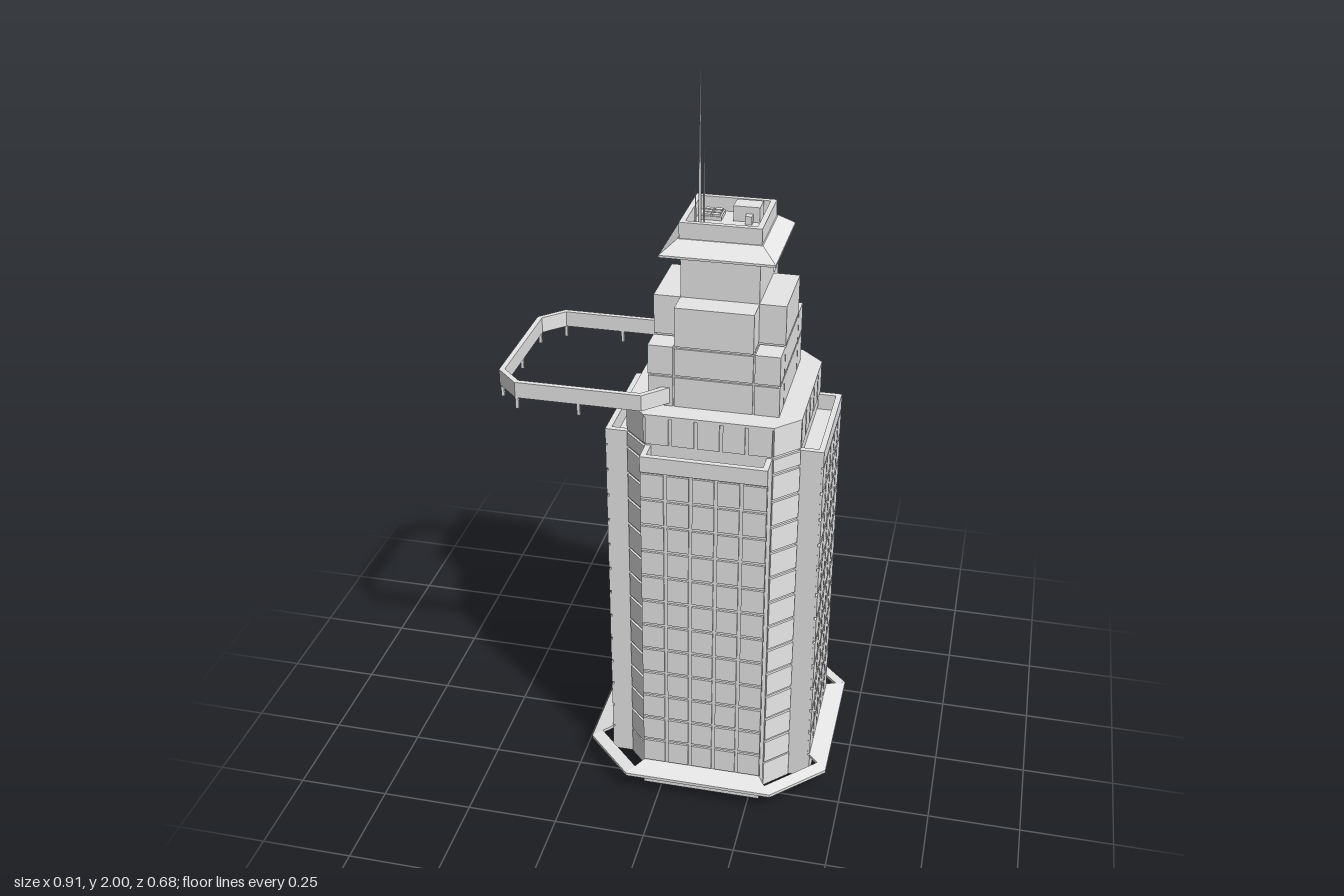
import * as THREE from 'three';
import { mergeGeometries } from 'three/addons/utils/BufferGeometryUtils.js';
import { ConvexGeometry } from 'three/addons/geometries/ConvexGeometry.js';

const stone = new THREE.MeshStandardMaterial({ color: 0xe7e7e7 });
stone.name = 'pale stone';

// Box given by its limits on each axis
function box(x0, x1, y0, y1, z0, z1) {
  return new THREE.BoxGeometry(x1 - x0, y1 - y0, z1 - z0)
    .translate((x0 + x1) / 2, (y0 + y1) / 2, (z0 + z1) / 2);
}

function add(parent, name, geos) {
  const list = [].concat(geos).map((g) => (g.index ? g.toNonIndexed() : g));
  const mesh = new THREE.Mesh(list.length > 1 ? mergeGeometries(list) : list[0], stone);
  mesh.name = name;
  parent.add(mesh);
  return mesh;
}

// Corner points of an octagon: half width a, half length of each straight side b
function octagon(a, b) {
  return [[b, a], [a, b], [a, -b], [b, -a], [-b, -a], [-a, -b], [-a, b], [-b, a]]
    .map(([x, y]) => new THREE.Vector2(x, y));
}

function octPrism(a, b, y0, y1, hole) {
  const shape = new THREE.Shape(octagon(a, b));
  if (hole) shape.holes.push(new THREE.Path(octagon(hole[0], hole[1]).reverse()));
  return new THREE.ExtrudeGeometry(shape, { depth: y1 - y0, bevelEnabled: false })
    .rotateX(-Math.PI / 2).translate(0, y0, 0);
}

// Grid of panels facing +z with narrow joints between them
function panels(width, z, y0, y1, cols, rows) {
  const out = [], w = width / cols, h = (y1 - y0) / rows, gap = 0.0045;
  for (let c = 0; c < cols; c++) {
    for (let r = 0; r < rows; r++) {
      const x = -width / 2 + c * w, y = y0 + r * h;
      out.push(box(x + (c ? gap : 0.001), x + w - (c < cols - 1 ? gap : 0.001),
        y + gap, y + h - gap, z - 0.012, z));
    }
  }
  return out;
}

// Four-sided tapered block with flat sides
function taper(top, bottom, y0, y1) {
  const g = new THREE.CylinderGeometry(top * Math.SQRT2, bottom * Math.SQRT2, y1 - y0, 4)
    .rotateY(Math.PI / 4).translate(0, (y0 + y1) / 2, 0).toNonIndexed();
  g.computeVertexNormals();
  return g;
}

// Sloping slab between an outer and an inner edge
function slab(corners) {
  return new ConvexGeometry(corners.flatMap(([x, y, z]) =>
    [new THREE.Vector3(x, y, z), new THREE.Vector3(x, y - 0.009, z)]));
}

export function createModel() {
  const model = new THREE.Group();
  model.name = 'skyscraper';
  const tower = new THREE.Group();
  tower.name = 'tower';
  tower.position.set(0.114, 0, -0.002);
  model.add(tower);

  // Octagonal core, set back behind its panels
  add(tower, 'coreBase', octPrism(0.229, 0.168, 0, 0.078));
  add(tower, 'coreBody', octPrism(0.223, 0.1655, 0.078, 1.147));
  add(tower, 'coreRoof', octPrism(0.229, 0.168, 1.147, 1.155));

  // Four sides, each with a bay, an angled corner and its share of the canopy
  for (let i = 0; i < 4; i++) {
    const side = new THREE.Group();
    side.name = 'side' + (i + 1);
    side.rotation.y = i * Math.PI / 2;
    tower.add(side);

    add(side, 'bayBody', [
      box(-0.165, 0.165, 0, 0.078, 0.2, 0.288),
      box(-0.165, 0.165, 0.078, 1.02, 0.2, 0.2825),
    ]);
    add(side, 'bayPanels', panels(0.33, 0.288, 0.078, 1.02, 5, 12));
    add(side, 'bayParapet', [
      box(-0.165, 0.165, 1.02, 1.065, 0.273, 0.288),
      box(-0.165, -0.15, 1.02, 1.065, 0.225, 0.273),
      box(0.15, 0.165, 1.02, 1.065, 0.225, 0.273),
    ]);
    add(side, 'upperPanels', panels(0.33, 0.229, 1.066, 1.152, 5, 1));

    const corner = add(side, 'cornerPanels', [
      ...panels(0.086, 0.2807, 0.078, 1.02, 1, 12),
      ...panels(0.086, 0.2807, 1.02, 1.068, 1, 1),
      ...panels(0.086, 0.2807, 1.068, 1.152, 1, 1),
    ]);
    corner.rotation.y = Math.PI / 4;

    add(side, 'canopy', [
      slab([[-0.204, 0.066, 0.34], [0.204, 0.066, 0.34], [0.165, 0.08, 0.287], [-0.165, 0.08, 0.287]]),
      slab([[0.204, 0.066, 0.34], [0.34, 0.066, 0.204], [0.314, 0.073, 0.184], [0.184, 0.073, 0.314]]),
    ]);

    // Stepped crown: tall arms with lower blocks in the corners
    add(side, 'crownArm', [[1.155, 1.237], [1.243, 1.318], [1.324, 1.43]]
      .map(([y0, y1]) => box(-0.101, 0.101, y0, y1, 0.09, 0.17)));
    add(side, 'crownCorner', [[1.155, 1.237], [1.243, 1.322]]
      .map(([y0, y1]) => box(0.105, 0.17, y0, y1, 0.105, 0.17)));

    // Parapet wall round the top roof
    add(side, 'topParapet', box(-0.104, 0.104, 1.57, 1.63, 0.09, 0.104));
  }

  add(tower, 'crownCore', [
    box(-0.165, 0.165, 1.155, 1.316, -0.165, 0.165),
    box(-0.165, 0.165, 1.3, 1.424, -0.097, 0.097),
    box(-0.097, 0.097, 1.3, 1.424, -0.165, 0.165),
  ]);

  // Shaft, flared cornice and roof floor
  add(tower, 'shaft', box(-0.101, 0.101, 1.42, 1.555, -0.101, 0.101));
  add(tower, 'corniceBed', box(-0.12, 0.12, 1.542, 1.55, -0.12, 0.12));
  add(tower, 'cornice', [
    taper(0.146, 0.146, 1.55, 1.556),
    taper(0.107, 0.146, 1.556, 1.588),
  ]);
  add(tower, 'topRoof', box(-0.1, 0.1, 1.58, 1.593, -0.1, 0.1));

  // Roof equipment
  const roof = new THREE.Group();
  roof.name = 'roofEquipment';
  model.add(roof);
  add(roof, 'ventFrame', box(0.039, 0.091, 1.59, 1.603, -0.077, -0.022));
  const vents = [];
  for (let c = 0; c < 2; c++) {
    for (let r = 0; r < 3; r++) {
      const x = 0.043 + c * 0.024, z = -0.074 + r * 0.018;
      vents.push(box(x, x + 0.02, 1.6, 1.608, z, z + 0.013));
    }
  }
  add(roof, 'vents', vents);
  add(roof, 'stairHouse', [
    box(0.12, 0.188, 1.59, 1.633, -0.08, -0.03),
    box(0.154, 0.171, 1.59, 1.615, -0.03, -0.01),
  ]);
  add(roof, 'mastBase', box(0.035, 0.071, 1.59, 1.61, 0.05, 0.076));

  // Masts: x, z, top height, base radius
  const masts = [[0.054, 0.063, 2, 0.0045], [0.064, 0.061, 1.81, 0.003], [0.043, 0.062, 1.71, 0.003]];
  add(roof, 'masts', masts.map(([x, z, top, r]) =>
    new THREE.CylinderGeometry(r * 0.3, r, top - 1.6, 6).translate(x, (top + 1.6) / 2, z)));

  // Octagonal rail frame reaching out to one side, with short posts
  const frame = new THREE.Group();
  frame.name = 'sideFrame';
  frame.position.set(-0.226, 0, -0.002);
  model.add(frame);
  add(frame, 'rail', octPrism(0.229, 0.167, 1.163, 1.207, [0.215, 0.161]));
  const spots = octagon(0.222, 0.164).map((p) => [p.x, p.y]).filter(([x]) => x < 0)
    .concat([[0, 0.222], [0, -0.222], [-0.222, 0]]);
  add(frame, 'posts', spots.map(([x, z]) =>
    box(x - 0.004, x + 0.004, 1.13, 1.165, z - 0.004, z + 0.004)));

  return model;
}
